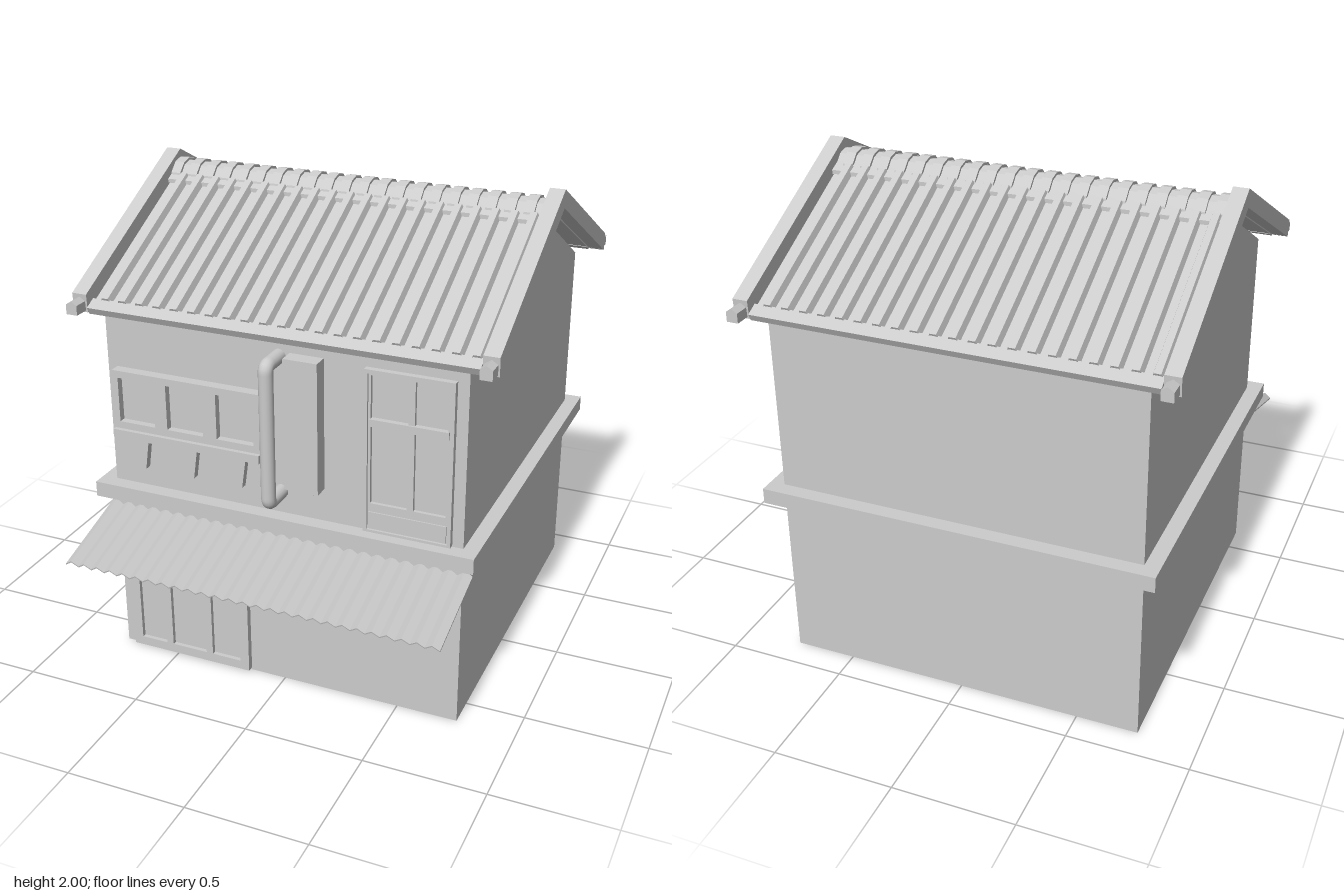
import * as THREE from 'three';

const mat = new THREE.MeshStandardMaterial({ color: 0xcccccc, flatShading: true, side: THREE.DoubleSide });
const smooth = new THREE.MeshStandardMaterial({ color: 0xcccccc });
const WALL = 0.625, RIDGE = -0.13;

function add(parent, name, geo, material = mat) {
  const m = new THREE.Mesh(geo, material);
  m.name = name;
  parent.add(m);
  return m;
}

// Box from its min and max on each axis
function box(parent, name, x0, x1, y0, y1, z0, z1) {
  const g = new THREE.BoxGeometry(x1 - x0, y1 - y0, z1 - z0);
  g.translate((x0 + x1) / 2, (y0 + y1) / 2, (z0 + z1) / 2);
  return add(parent, name, g);
}

function shapeOf(pts) {
  return new THREE.Shape(pts.map(p => new THREE.Vector2(p[0], p[1])));
}

function extrude(shape, depth) {
  return new THREE.ExtrudeGeometry(shape, { depth, bevelEnabled: false });
}

// Side profile of [z, y] points swept from x0 to x1
function sweepX(pts, x0, x1) {
  return extrude(shapeOf(pts), x1 - x0).rotateY(-Math.PI / 2).translate(x1, 0, 0);
}

// Flat frame on the front wall, pierced by [x0, x1, y0, y1] openings
function frame(parent, name, [x0, x1, y0, y1], front, openings) {
  const rect = (a, b, c, d) => [[a, c], [b, c], [b, d], [a, d]];
  const s = shapeOf(rect(x0, x1, y0, y1));
  openings.forEach(o => s.holes.push(shapeOf(rect(...o))));
  add(parent, name, extrude(s, front - WALL + 0.005).translate(0, 0, WALL - 0.005));
}

// Corrugated sheet running along +z; wave lists [fraction of period, height]
function corrugated(halfWidth, count, wave, thick, length) {
  const top = [], step = 2 * halfWidth / count;
  for (let i = 0; i < count; i++)
    for (const [f, h] of wave) top.push([-halfWidth + (i + f) * step, h]);
  top.push([halfWidth, wave[0][1]]);
  const under = top.map(([x, y]) => [x, y - thick]).reverse();
  return extrude(shapeOf([...under, ...top]), length);
}

function buildRoof() {
  const roof = new THREE.Group();
  roof.name = 'roof';
  roof.position.z = RIDGE;
  const angle = Math.atan(0.506), len = 0.79 / Math.cos(angle);

  for (const turn of [0, Math.PI]) {
    const side = new THREE.Group();
    side.name = turn ? 'backSlope' : 'frontSlope';
    side.rotation.y = turn;
    roof.add(side);
    const slope = new THREE.Group();
    slope.name = 'slopeSurface';
    slope.position.y = 1.922;
    slope.rotation.x = angle;
    side.add(slope);
    box(slope, 'roofDeck', -0.805, 0.805, 0, 0.012, 0, len);
    box(slope, 'eaveStrip', -0.805, 0.805, -0.002, 0.03, len - 0.055, len);
    const tiles = corrugated(0.8, 21, [[0, 0.015], [0.4, 0.015], [0.52, 0.042], [0.88, 0.042]], 0.01, len - 0.13);
    add(slope, 'roofTiles', tiles.translate(0, 0, 0.08));

    // Small peaked blocks at the lower ends of the gable boards
    for (const s of [-1, 1]) {
      const pts = [[-0.024, 1.532], [0.024, 1.532], [0.024, 1.572], [0, 1.588], [-0.024, 1.572]];
      add(side, 'boardEnd', extrude(shapeOf(pts), 0.08).translate(s * 0.842, 0, 0.775 - 0.02 + 0.02));
    }
  }

  // Gable boards
  const board = [[-0.79, 1.525], [0, 1.925], [0.79, 1.525], [0.795, 1.6], [0, 2.0], [-0.795, 1.6]];
  for (const x of [-0.873, 0.81]) add(roof, 'gableBoard', sweepX(board, x, x + 0.063));

  // Ridge base with a row of overlapping cap tiles
  add(roof, 'ridgeBase', sweepX([[-0.115, 1.88], [0.115, 1.88], [0.115, 1.897], [0, 1.95], [-0.115, 1.897]], -0.81, 0.81));
  const cap = [[-0.09, 1.895], [0.09, 1.895], [0.085, 1.918], [0.045, 1.956], [0, 1.966], [-0.045, 1.956], [-0.085, 1.918]];
  const n = 21, w = 1.62 / n;
  for (let i = 0; i < n; i++) {
    const x = -0.81 + i * w;
    add(roof, 'ridgeCap', sweepX(cap, x, x + w * 0.55));
    add(roof, 'ridgeCapLow', sweepX(cap.map(([z, y]) => [z * 0.92, y - 0.01]), x + w * 0.55, x + w));
  }
  return roof;
}

function buildWindow() {
  const g = new THREE.Group();
  g.name = 'upperWindow';
  const panes = [-0.61, -0.395, -0.175].map(x => [x - 0.08, x + 0.08, 1.08, 1.27]);
  frame(g, 'windowFrame', [-0.715, -0.065, 1.02, 1.3], 0.67, panes);
  for (const [a, b, c, d] of panes) box(g, 'windowPane', a, b, c, d, WALL - 0.005, 0.64);
  box(g, 'windowSill', -0.715, -0.065, 1.015, 1.05, WALL - 0.005, 0.688);
  // Tapered brackets beneath the sill
  for (const x of [-0.61, -0.39, -0.175]) {
    const pts = [[x - 0.017, 0.877], [x + 0.017, 0.877], [x + 0.037, 1.015], [x - 0.037, 1.015]];
    add(g, 'sillBracket', extrude(shapeOf(pts), 0.035).translate(0, 0, WALL - 0.005));
  }
  return g;
}

function buildDoors() {
  const g = new THREE.Group();
  g.name = 'doors';
  // Upper balcony door
  frame(g, 'upperDoorFrame', [0.355, 0.71, 0.795, 1.47], 0.65, [[0.37, 0.695, 0.805, 1.455]]);
  frame(g, 'upperDoorLeaf', [0.37, 0.695, 0.805, 1.455], 0.64, [
    [0.38, 0.53, 1.27, 1.445], [0.555, 0.685, 1.27, 1.445],
    [0.38, 0.53, 0.915, 1.24], [0.555, 0.685, 0.915, 1.24]]);
  box(g, 'doorCrossRail', 0.375, 0.69, 1.24, 1.27, WALL, 0.648);
  box(g, 'doorKickPanel', 0.375, 0.69, 0.81, 0.88, WALL, 0.646);
  // Ground floor shopfront
  const openings = [[-0.665, -0.545], [-0.515, -0.355], [-0.325, -0.195]];
  frame(g, 'shopFrame', [-0.705, -0.155, 0.01, 0.6], 0.652, openings.map(([a, b]) => [a, b, 0.05, 0.553]));
  for (const [a, b] of openings) box(g, 'shopPane', a, b, 0.05, 0.553, WALL - 0.005, 0.634);
  box(g, 'shopRail', -0.665, -0.545, 0.34, 0.36, WALL, 0.648);
  return g;
}

// Square-cornered pipe with short mitred bends
function buildPipe() {
  const path = new THREE.CurvePath();
  const pts = [[0.62, 1.456], [0.715, 1.456], [0.741, 1.43], [0.741, 0.91], [0.715, 0.884], [0.62, 0.884]]
    .map(([z, y]) => new THREE.Vector3(0, y, z));
  path.add(new THREE.LineCurve3(pts[0], pts[1]));
  path.add(new THREE.QuadraticBezierCurve3(pts[1], new THREE.Vector3(0, 1.456, 0.741), pts[2]));
  path.add(new THREE.LineCurve3(pts[2], pts[3]));
  path.add(new THREE.QuadraticBezierCurve3(pts[3], new THREE.Vector3(0, 0.884, 0.741), pts[4]));
  path.add(new THREE.LineCurve3(pts[4], pts[5]));
  return new THREE.TubeGeometry(path, 96, 0.029, 16);
}

export function createModel() {
  const house = new THREE.Group();
  house.name = 'house';

  // Walls with gables, and the band between the floors
  add(house, 'walls', sweepX([[-0.88, 0], [WALL, 0], [WALL, 1.51], [RIDGE, 1.915], [-0.88, 1.51]], -0.755, 0.755));
  box(house, 'floorBand', -0.818, 0.816, 0.725, 0.79, -0.943, 0.688);

  house.add(buildRoof(), buildWindow(), buildDoors());
  box(house, 'signPanel', 0.045, 0.185, 0.93, 1.475, WALL - 0.005, 0.69);
  box(house, 'signMount', 0.08, 0.15, 0.905, 0.93, WALL - 0.005, 0.65);
  add(house, 'pipe', buildPipe(), smooth);

  // Corrugated awning over the shopfront
  const awning = add(house, 'awning', corrugated(0.793, 27, [[0, -0.008], [0.5, 0.012]], 0.006, 0.383));
  awning.position.set(0, 0.681, 0.618);
  awning.rotation.x = Math.atan2(0.107, 0.367);
  return house;
}
